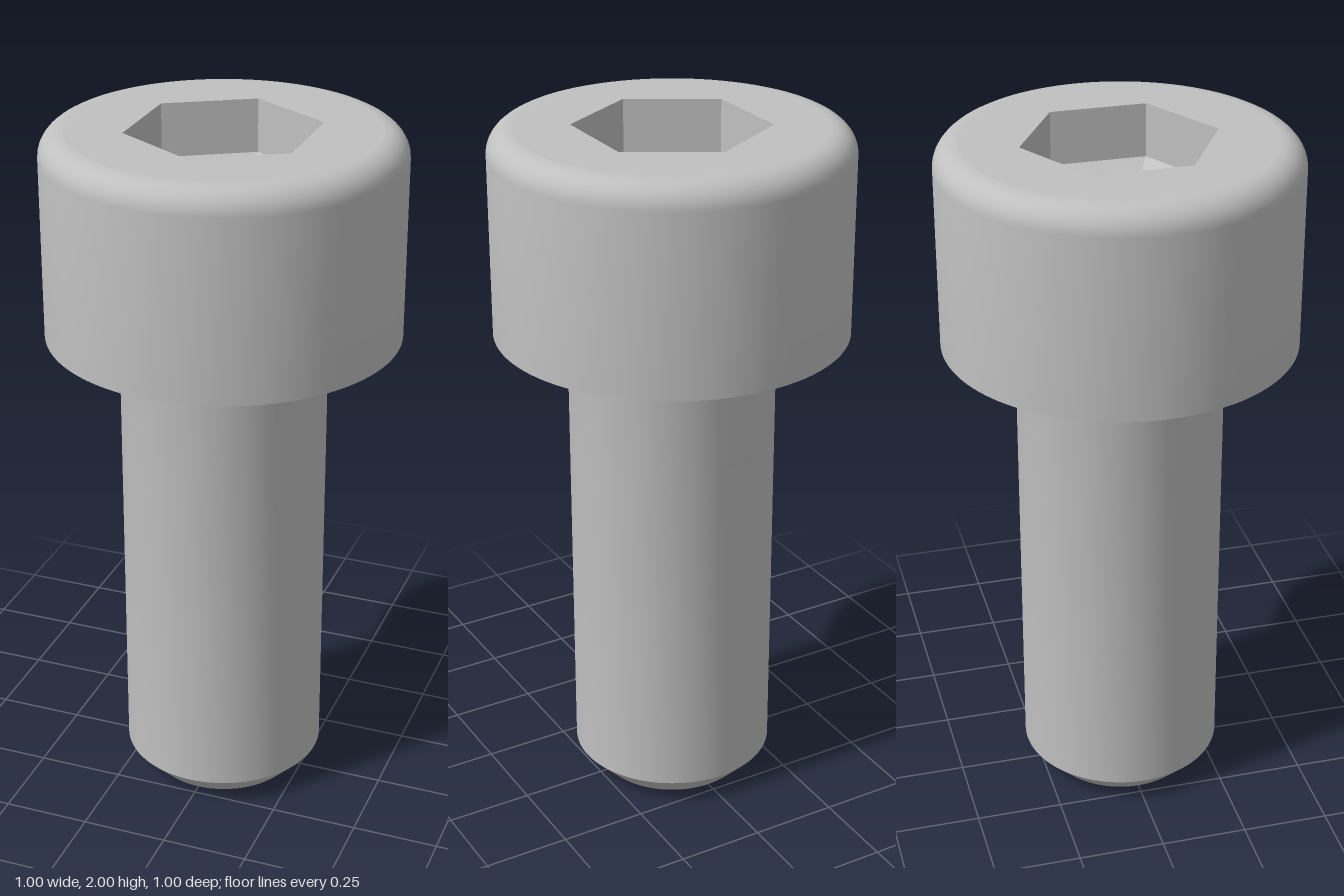
import * as THREE from 'three';
import { toCreasedNormals } from 'three/addons/utils/BufferGeometryUtils.js';

const SEGMENTS = 96;
const HEAD_R = 0.5, HEAD_BOTTOM = 1.415, TOP = 2, ROUND = 0.07;
const SHANK_R = 0.293, TIP_R = 0.22, CHAMFER = 0.075, NECK = 0.018;
const HEX_R = 0.273, WALL_DEPTH = 0.155, CONE_DEPTH = 0.145;

// Quarter arc as profile points
function arc(cx, cy, r, from, to, steps = 8) {
  return Array.from({ length: steps + 1 }, (_, i) => {
    const a = from + (to - from) * i / steps;
    return new THREE.Vector2(cx + r * Math.cos(a), cy + r * Math.sin(a));
  });
}

// Surface of revolution, smooth around but sharp at corners
function turned(points) {
  return toCreasedNormals(new THREE.LatheGeometry(points, SEGMENTS), 0.5);
}

// Turns a closed outer surface into an inward-facing faceted one
function inward(geometry) {
  const g = geometry.scale(-1, 1, 1).toNonIndexed();
  g.computeVertexNormals();
  return g;
}

export function createModel() {
  const model = new THREE.Group();
  model.name = 'socketHeadScrew';
  const steel = new THREE.MeshStandardMaterial({ color: 0xc0c0c0 });
  steel.name = 'steelGrey';

  const add = (name, geometry, y = 0) => {
    const mesh = new THREE.Mesh(geometry, steel);
    mesh.name = name;
    mesh.position.y = y;
    model.add(mesh);
  };

  // Shank with chamfered tip and small fillet under the head
  add('shank', turned([
    new THREE.Vector2(0, 0),
    new THREE.Vector2(TIP_R, 0),
    new THREE.Vector2(SHANK_R, CHAMFER),
    ...arc(SHANK_R + NECK, HEAD_BOTTOM - NECK, NECK, Math.PI, Math.PI / 2, 6),
  ]));

  // Head underside, side and rounded upper rim
  add('head', turned([
    new THREE.Vector2(SHANK_R + NECK, HEAD_BOTTOM),
    new THREE.Vector2(HEAD_R, HEAD_BOTTOM),
    ...arc(HEAD_R - ROUND, TOP - ROUND, ROUND, 0, Math.PI / 2),
  ]));

  // Flat top with hexagonal opening
  const face = new THREE.Shape().absarc(0, 0, HEAD_R - ROUND, 0, Math.PI * 2);
  const hex = Array.from({ length: 6 }, (_, i) => {
    const a = Math.PI / 2 + i * Math.PI / 3;
    return new THREE.Vector2(HEX_R * Math.cos(a), HEX_R * Math.sin(a));
  });
  face.holes.push(new THREE.Path(hex));
  add('headTop', new THREE.ShapeGeometry(face, SEGMENTS).rotateX(-Math.PI / 2), TOP);

  // Socket walls and pointed floor
  add('socketWalls', inward(
    new THREE.CylinderGeometry(HEX_R, HEX_R, WALL_DEPTH, 6, 1, true)), TOP - WALL_DEPTH / 2);
  add('socketFloor', inward(
    new THREE.ConeGeometry(HEX_R, CONE_DEPTH, 6, 1, true).rotateX(Math.PI)),
    TOP - WALL_DEPTH - CONE_DEPTH / 2);

  return model;
}
